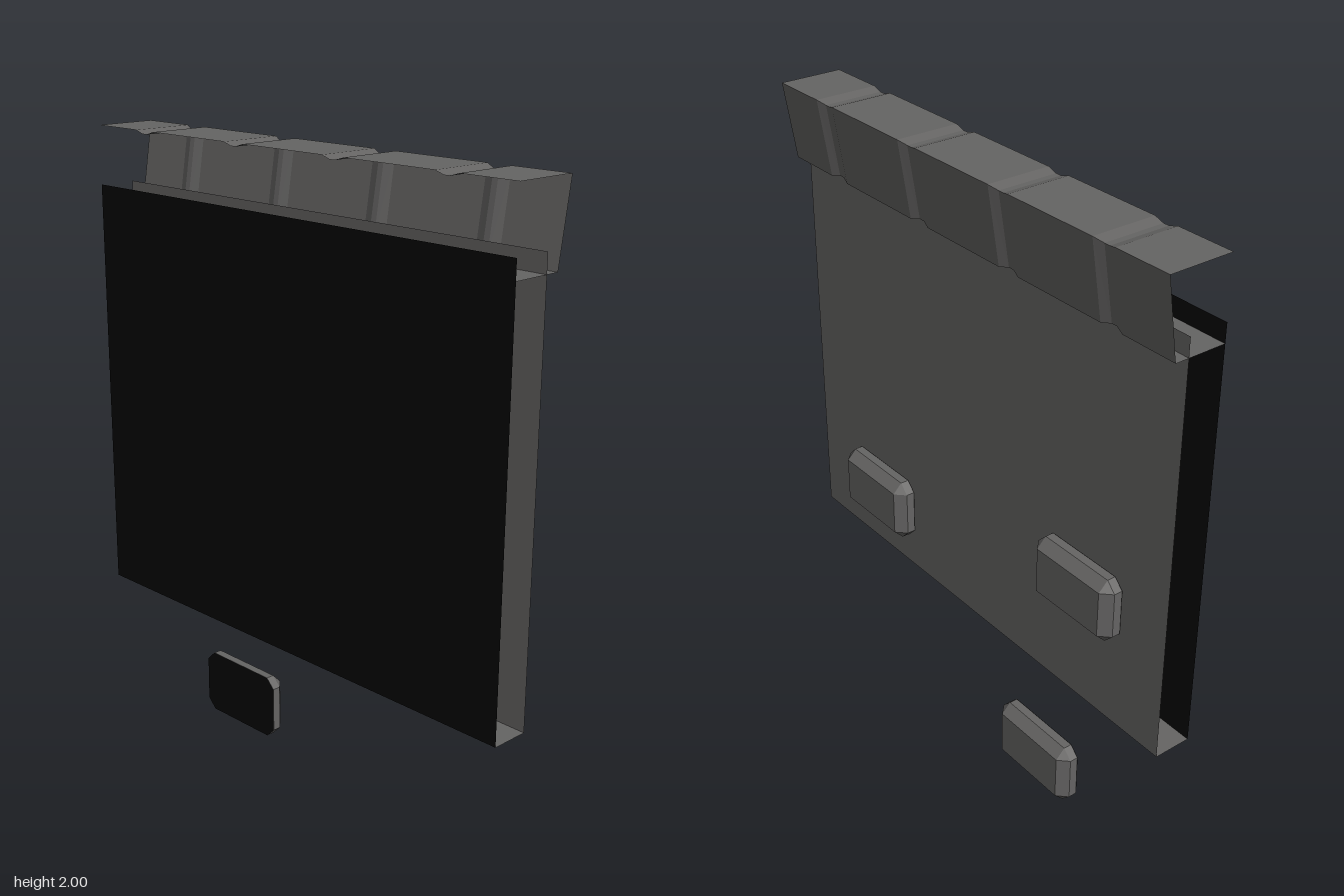
import * as THREE from 'three';
import { ConvexGeometry } from 'three/addons/geometries/ConvexGeometry.js';

const HALF = 0.865; // half length of panel and rail

export function createModel() {
  const model = new THREE.Group();
  model.name = 'hangingPanel';
  const grey = new THREE.MeshStandardMaterial({ name: 'grey', color: 0x656463, flatShading: true, side: THREE.DoubleSide });
  const black = new THREE.MeshStandardMaterial({ name: 'black', color: 0x060606, flatShading: true, side: THREE.DoubleSide });

  const add = (name, geometry, material, parent = model) => {
    const mesh = new THREE.Mesh(geometry, material);
    mesh.name = name;
    parent.add(mesh);
    return mesh;
  };

  // Hollow panel: front and back sheets joined by a floor, open at top and ends
  const bottom = 0.435, top = 1.81, front = 0.105, back = -0.02;
  const sheet = new THREE.PlaneGeometry(2 * HALF, top - bottom);
  add('frontSheet', sheet, black).position.set(0, (top + bottom) / 2, front);
  const rear = add('backSheet', sheet, grey);
  rear.position.set(0, (top + bottom) / 2, back);
  rear.rotation.y = Math.PI;
  const floor = add('panelFloor', new THREE.PlaneGeometry(2 * HALF, front - back), grey);
  floor.rotation.x = Math.PI / 2;
  floor.position.set(0, bottom, (front + back) / 2);

  // Top rail: a C profile (z, y), pulled inward at four grooves
  const outer = [[0.105, 2], [-0.105, 2], [-0.065, 1.75], [0.105, 1.75]];
  const inner = [[0.105, 1.99], [-0.093, 1.99], [-0.055, 1.757], [0.105, 1.757]];
  const stations = [[-HALF, outer]];
  for (const x of [-0.63, -0.21, 0.205, 0.625]) {
    stations.push([x - 0.042, outer], [x - 0.01, inner], [x + 0.01, inner], [x + 0.042, outer]);
  }
  stations.push([HALF, outer]);
  const rail = new THREE.PlaneGeometry(1, 1, stations.length - 1, 3);
  for (let row = 0; row < 4; row++) {
    stations.forEach(([x, profile], i) => {
      const [z, y] = profile[row];
      rail.attributes.position.setXYZ(row * stations.length + i, x, y, z);
    });
  }
  rail.computeVertexNormals();
  add('topRail', rail, grey);

  // Bevelled pads: chamfered outline tapering to a smaller rectangle at the back
  const w = 0.168, h = 0.108, c = 0.032;
  const outline = [];
  const points = [];
  for (const [sx, sy] of [[1, 1], [-1, 1], [-1, -1], [1, -1]]) {
    const corner = [[sx * w, sy * (h - c)], [sx * (w - c), sy * h]];
    if (sx * sy < 0) corner.reverse();
    for (const [x, y] of corner) {
      outline.push(new THREE.Vector2(x, y));
      points.push(new THREE.Vector3(x, y, -0.022), new THREE.Vector3(x, y, -0.05));
    }
    points.push(new THREE.Vector3(sx * (w - c), sy * (h - c), -0.082));
  }
  const padBody = new ConvexGeometry(points);
  const padFace = new THREE.ShapeGeometry(new THREE.Shape(outline));
  for (const [name, x, y] of [['leftPad', 0.5, 0.655], ['rightPad', -0.515, 0.853], ['lowerPad', -0.36, 0.108]]) {
    const pad = new THREE.Group();
    pad.name = name;
    pad.position.set(x, y, 0);
    add('padBody', padBody, grey, pad);
    add('padFace', padFace, black, pad).position.z = -0.021;
    model.add(pad);
  }
  return model;
}
